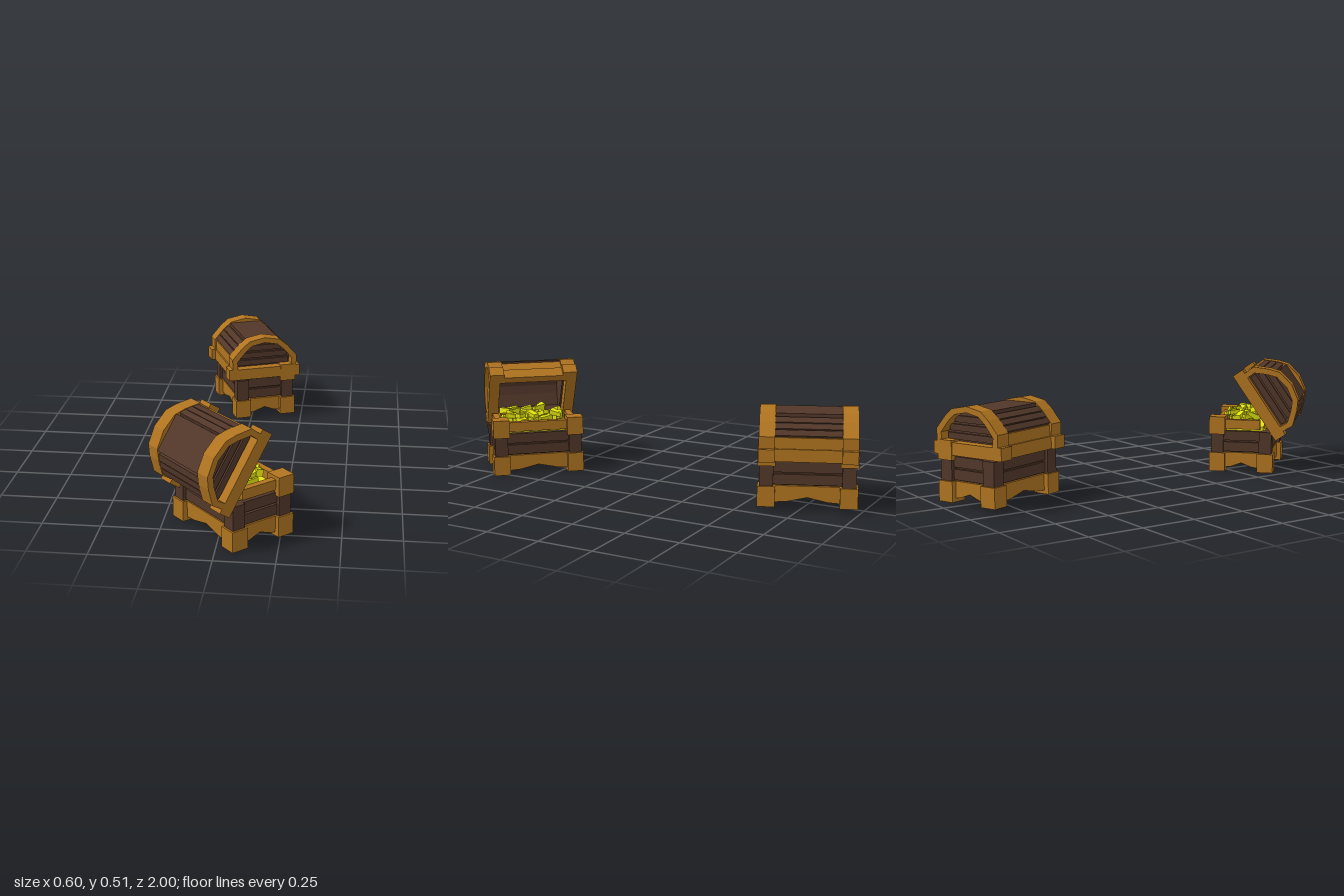
import * as THREE from 'three';

const mat = (color) => new THREE.MeshStandardMaterial({ color, flatShading: true, side: THREE.DoubleSide });
const TAN = mat(0xb07420), DARK = mat(0x523729), GOLD = mat(0xe4e410);

// Half sizes of the base (over the corner posts) and of the lid
const BX = 0.214, BZ = 0.154, LX = 0.21, POST = 0.076, RECESS = 0.022;
// Half of the lid's arch, from rim to crown: [z, y]
const ARCH = [[0.165, 0.05], [0.168, 0.108], [0.118, 0.165], [0.078, 0.198], [0, 0.213]];

function add(parent, name, geometry, material, x = 0, y = 0, z = 0) {
  const m = new THREE.Mesh(geometry, material);
  m.name = name;
  m.position.set(x, y, z);
  parent.add(m);
  return m;
}
function box(parent, name, material, w, h, d, x, y, z) {
  return add(parent, name, new THREE.BoxGeometry(w, h, d), material, x, y, z);
}

// Full arch outline, drawn in by d
function archPoints(d) {
  const right = ARCH.map(([z, y], i) => new THREE.Vector2(z * (1 - d / 0.168), i ? y * (1 - d / 0.213) : y));
  const left = right.slice(0, -1).reverse().map((p) => new THREE.Vector2(-p.x, p.y));
  return [...right, ...left];
}
// Solid or ring cross-section extruded along x
function archSolid(outer, inner, length) {
  const pts = archPoints(outer);
  if (inner) pts.push(...archPoints(inner).reverse());
  const g = new THREE.ExtrudeGeometry(new THREE.Shape(pts), { depth: length, bevelEnabled: false });
  return g.translate(0, 0, -length / 2).rotateY(Math.PI / 2);
}

// Skirt board with a peaked notch in its lower edge
function apron(length, depth) {
  const h = length / 2;
  const s = new THREE.Shape([[-h, 0.09], [-h, 0.016], [-h * 0.6, 0.02], [0, 0.04], [h * 0.6, 0.02], [h, 0.016], [h, 0.09]]
    .map(([x, y]) => new THREE.Vector2(x, y)));
  return new THREE.ExtrudeGeometry(s, { depth, bevelEnabled: false }).translate(0, 0, -depth / 2);
}

function makeBase() {
  const base = new THREE.Group();
  base.name = 'chestBase';
  const px = BX - POST / 2, pz = BZ - POST / 2;
  for (const sx of [-1, 1]) {
    for (const sz of [-1, 1]) {
      box(base, 'foot', TAN, POST, 0.09, POST, sx * px, 0.045, sz * pz);
      box(base, 'cornerPost', DARK, POST - 0.016, 0.108, POST - 0.016, sx * px, 0.141, sz * pz);
    }
    // Raised caps on the front corners only, leaving room for the hinged lid
    box(base, 'postCap', TAN, POST, 0.085, POST, sx * px, 0.2225, pz);
  }
  const lx = 2 * (BX - POST) + 0.02, lz = 2 * (BZ - POST) + 0.02;
  for (const s of [-1, 1]) {
    // Outer planes of the recessed boards
    const fx = BX - RECESS, fz = BZ - RECESS;
    add(base, 'longApron', apron(lx, 0.026), TAN, 0, 0, s * (fz - 0.013));
    add(base, 'endApron', apron(lz, 0.026).rotateY(Math.PI / 2), TAN, s * (fx - 0.013), 0, 0);
    // Backing wall with two planks on each side
    box(base, 'longWall', DARK, lx, 0.11, 0.012, 0, 0.14, s * (fz - 0.02));
    box(base, 'endWall', DARK, 0.012, 0.11, lz, s * (fx - 0.02), 0.14, 0);
    for (const y of [0.118, 0.172]) {
      box(base, 'longPlank', DARK, lx, 0.046, 0.016, 0, y, s * (fz - 0.008));
      box(base, 'endPlank', DARK, 0.016, 0.046, lz, s * (fx - 0.008), y, 0);
    }
    box(base, 'longRail', TAN, lx, 0.045, 0.03, 0, 0.2275, s * (fz - 0.015));
    box(base, 'endRail', TAN, 0.03, 0.045, lz, s * (fx - 0.015), 0.2275, 0);
  }
  box(base, 'floor', DARK, 2 * BX - 0.07, 0.015, 2 * BZ - 0.07, 0, 0.085, 0);
  return base;
}

function makeLid() {
  const lid = new THREE.Group();
  lid.name = 'chestLid';
  const band = 0.068, bx = LX - band / 2;
  for (const s of [-1, 1]) {
    add(lid, 'archBand', archSolid(0, 0.026, band), TAN, s * bx);
    add(lid, 'endPanel', archSolid(0.024, 0, 0.012), DARK, s * (LX - 0.052));
    // Boards lying across the end panel
    for (const [y, w] of [[0.076, 0.27], [0.113, 0.25], [0.15, 0.19]])
      box(lid, 'endBoard', DARK, 0.012, 0.028, w, s * (LX - 0.043), y, 0);
    // Rim frame with corner blocks
    box(lid, 'endRim', TAN, 0.05, 0.055, 0.33, s * (LX - 0.025), 0.0275, 0);
    box(lid, 'longRim', TAN, 2 * LX - 0.08, 0.055, 0.035, 0, 0.0275, s * 0.148);
    box(lid, 'lowerBoard', TAN, 2 * LX - 0.12, 0.05, 0.016, 0, 0.079, s * 0.15);
    for (const e of [-1, 1])
      box(lid, 'rimCorner', TAN, band, 0.056, 0.05, s * bx, 0.028, e * 0.16);
    // Narrow planks down each shoulder of the lid: [z, y, width, slope]
    for (const [z, y, w, tilt] of [[0.1, 0.164, 0.03, 0.65], [0.123, 0.142, 0.028, 0.75], [0.144, 0.118, 0.028, 0.85]])
      box(lid, 'shoulderPlank', DARK, 2 * LX - 0.12, 0.018, w, 0, y, s * z).rotation.x = s * tilt;
  }
  // Wide crown plank over the curved shell
  box(lid, 'crownPlank', DARK, 2 * LX - 0.12, 0.018, 0.168, 0, 0.184, 0);
  add(lid, 'lidShell', archSolid(0.026, 0.036, 2 * LX - 0.1), DARK);
  return lid;
}

// Heap of gold bars from a small seeded generator
function makeGold() {
  const heap = new THREE.Group();
  heap.name = 'goldHeap';
  let seed = 7;
  const rnd = () => (seed = (seed * 16807) % 2147483647) / 2147483647;
  box(heap, 'goldFill', GOLD, 0.32, 0.12, 0.2, 0, 0.155, 0);
  const bar = new THREE.CylinderGeometry(0.013, 0.021, 0.06, 4, 1).rotateY(Math.PI / 4).rotateZ(Math.PI / 2);
  const brick = new THREE.BoxGeometry(0.06, 0.02, 0.028);
  for (let i = 0; i < 55; i++) {
    const m = add(heap, 'goldBar', i % 3 ? brick : bar, GOLD,
      (rnd() - 0.5) * 0.26, 0.222 + rnd() * 0.058, (rnd() - 0.5) * 0.14);
    m.rotation.set((rnd() - 0.5) * 0.6, rnd() * Math.PI, (rnd() - 0.5) * 0.6);
  }
  return heap;
}

export function createModel() {
  const model = new THREE.Group();
  model.name = 'treasureChests';

  // Closed chest, its lid resting over the rails
  const closed = new THREE.Group();
  closed.name = 'closedChest';
  const shut = makeLid();
  shut.position.set(0, 0.202, -0.005);
  closed.add(makeBase(), shut);
  box(closed, 'innerLining', DARK, 2 * BX - 0.12, 0.13, 2 * BZ - 0.12, 0, 0.155, 0);
  closed.position.set(-0.005, 0.02, -0.735);
  closed.rotation.y = 1.953;

  // Open chest with gold inside
  const open = new THREE.Group();
  open.name = 'openChest';
  const raised = makeLid();
  raised.position.set(0, 0.31, -0.062);
  raised.rotation.x = -0.969;
  open.add(makeBase(), raised, makeGold());
  open.position.set(0.041, 0, 0.668);
  open.rotation.y = 2.315;

  model.add(closed, open);
  return model;
}
